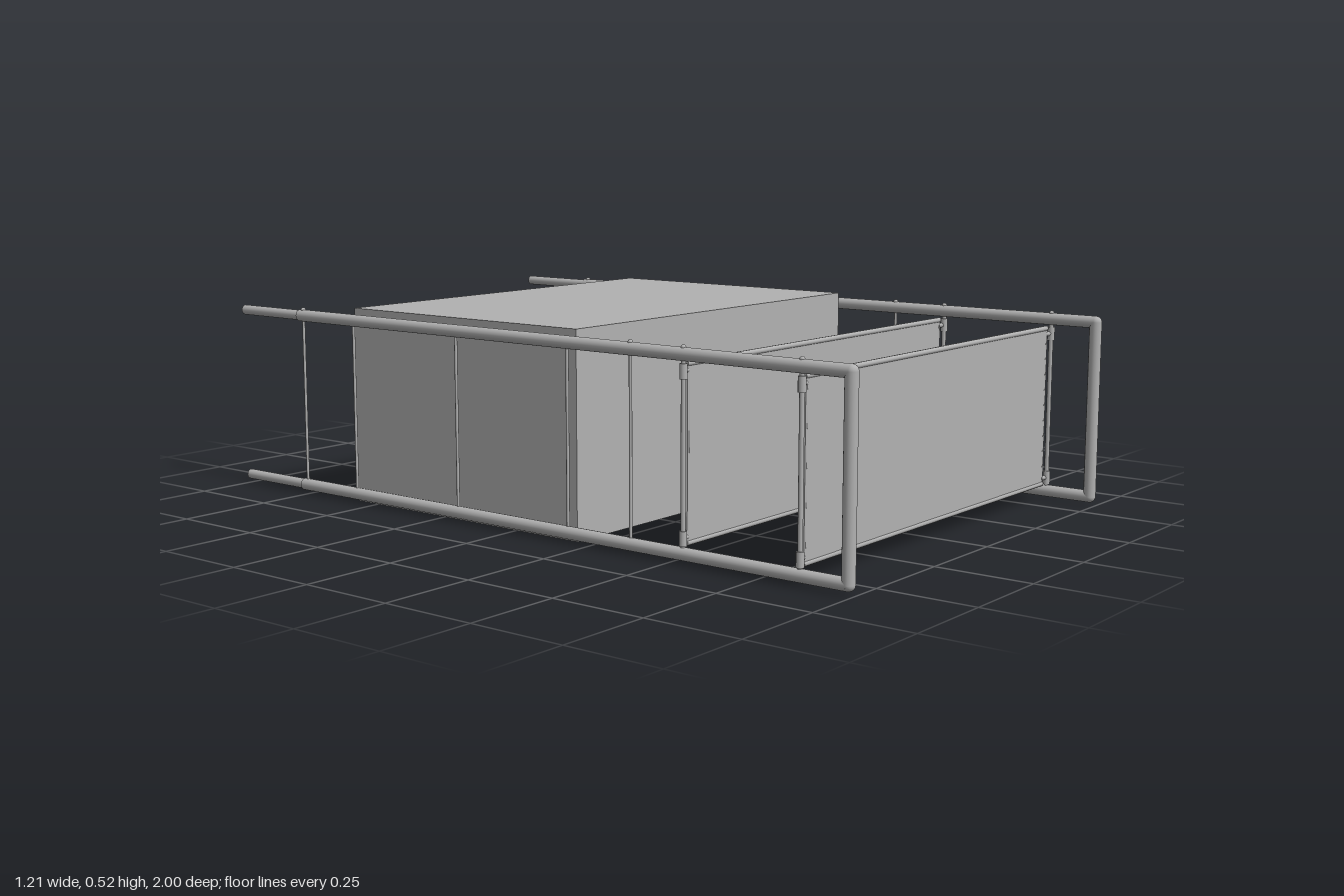
import * as THREE from 'three';

const steel = new THREE.MeshStandardMaterial({ color: 0xb2b2b2 });
steel.name = 'plain grey';

const RAIL_X = 0.588, TOP_Y = 0.489, LOW_Y = 0.026;

function add(parent, name, geometry, x = 0, y = 0, z = 0) {
  const mesh = new THREE.Mesh(geometry, steel);
  mesh.name = name;
  mesh.position.set(x, y, z);
  parent.add(mesh);
  return mesh;
}

// Box given by its limits on each axis
function slab(parent, name, x0, x1, y0, y1, z0, z1) {
  return add(parent, name, new THREE.BoxGeometry(x1 - x0, y1 - y0, z1 - z0),
    (x0 + x1) / 2, (y0 + y1) / 2, (z0 + z1) / 2);
}

// Round bar between two points
function bar(parent, name, a, b, radius, sides = 16) {
  const p = new THREE.Vector3(...a), q = new THREE.Vector3(...b);
  const dir = q.clone().sub(p);
  const mesh = add(parent, name, new THREE.CylinderGeometry(radius, radius, dir.length(), sides));
  mesh.position.copy(p).add(q).multiplyScalar(0.5);
  mesh.quaternion.setFromUnitVectors(new THREE.Vector3(0, 1, 0), dir.normalize());
  return mesh;
}

// Side frame: two rails, front post, upright rods and bolt heads
function sideFrame(s) {
  const g = new THREE.Group();
  g.name = s > 0 ? 'leftFrame' : 'rightFrame';
  const x = s * RAIL_X;
  for (const y of [LOW_Y, TOP_Y]) {
    bar(g, 'railSleeve', [x, y, 0.984], [x, y, -0.77], 0.016);
    bar(g, 'railEnd', [x - s * 0.002, y, -0.77], [x - s * 0.002, y, -1], 0.0135);
    add(g, 'railCorner', new THREE.SphereGeometry(0.016, 16, 10), x, y, 0.984);
  }
  bar(g, 'frontPost', [x, LOW_Y, 0.984], [x, TOP_Y, 0.984], 0.016);

  // Thin upright rods
  for (const z of [0.38, 0.185, -0.185, -0.56, -0.757]) {
    bar(g, 'uprightRod', [x, LOW_Y, z], [x, TOP_Y, z], 0.004, 10);
  }
  // Thicker rods with clamps that carry the cross panels
  for (const z of [0.858, 0.535]) {
    bar(g, 'panelRod', [x, LOW_Y, z], [x, TOP_Y, z], 0.006, 12);
    for (const y of [0.062, 0.45]) {
      bar(g, 'clamp', [x, y - 0.018, z], [x, y + 0.018, z], 0.0095, 12);
      bar(g, 'clampArm', [x, y, z], [s * 0.565, y, z - 0.006], 0.006, 8);
    }
  }
  for (const z of [0.858, 0.535, 0.38, -0.757]) {
    add(g, 'boltHead', new THREE.SphereGeometry(0.007, 10, 8), x, 0.504, z);
  }
  return g;
}

// Thin cross panel with rolled edges and corner brackets
function crossPanel(z) {
  const g = new THREE.Group();
  g.name = 'crossPanel';
  slab(g, 'panelSheet', -0.57, 0.57, 0.043, 0.47, z - 0.004, z + 0.004);
  for (const y of [0.047, 0.465]) {
    bar(g, 'rolledEdge', [-0.57, y, z], [0.57, y, z], 0.007, 10);
  }
  for (const s of [-1, 1]) {
    bar(g, 'sideEdge', [s * 0.566, 0.047, z], [s * 0.566, 0.465, z], 0.005, 10);
    for (const y of [0.062, 0.45]) {
      bar(g, 'bracket', [s * 0.5, y, z - 0.007], [s * 0.57, y, z - 0.007], 0.005, 8);
    }
  }
  return g;
}

// Cargo box, open below, with joists across the bottom
function cargoBox() {
  const g = new THREE.Group();
  g.name = 'cargoBox';
  const t = 0.006;
  slab(g, 'lid', -0.572, 0.572, 0.52 - t, 0.52, -0.572, 0.2);
  slab(g, 'frontWall', -0.572, 0.572, 0.002, 0.52 - t, 0.2 - t, 0.2);
  slab(g, 'backWall', -0.572, 0.572, 0.002, 0.52 - t, -0.572, -0.572 + t);
  for (const s of [-1, 1]) {
    const c = s * (0.572 - t / 2);
    slab(g, 'sideWall', c - t / 2, c + t / 2, 0.002, 0.52 - t, -0.572 + t, 0.2 - t);
  }
  for (const z of [0.18, 0.03, -0.15, -0.33, -0.5]) {
    slab(g, 'joist', -0.566, 0.566, 0.012, 0.03, z - 0.009, z + 0.009);
  }
  return g;
}

export function createModel() {
  const model = new THREE.Group();
  model.name = 'cargoCarrier';
  model.add(sideFrame(1), sideFrame(-1), crossPanel(0.852), crossPanel(0.529), cargoBox());
  return model;
}
